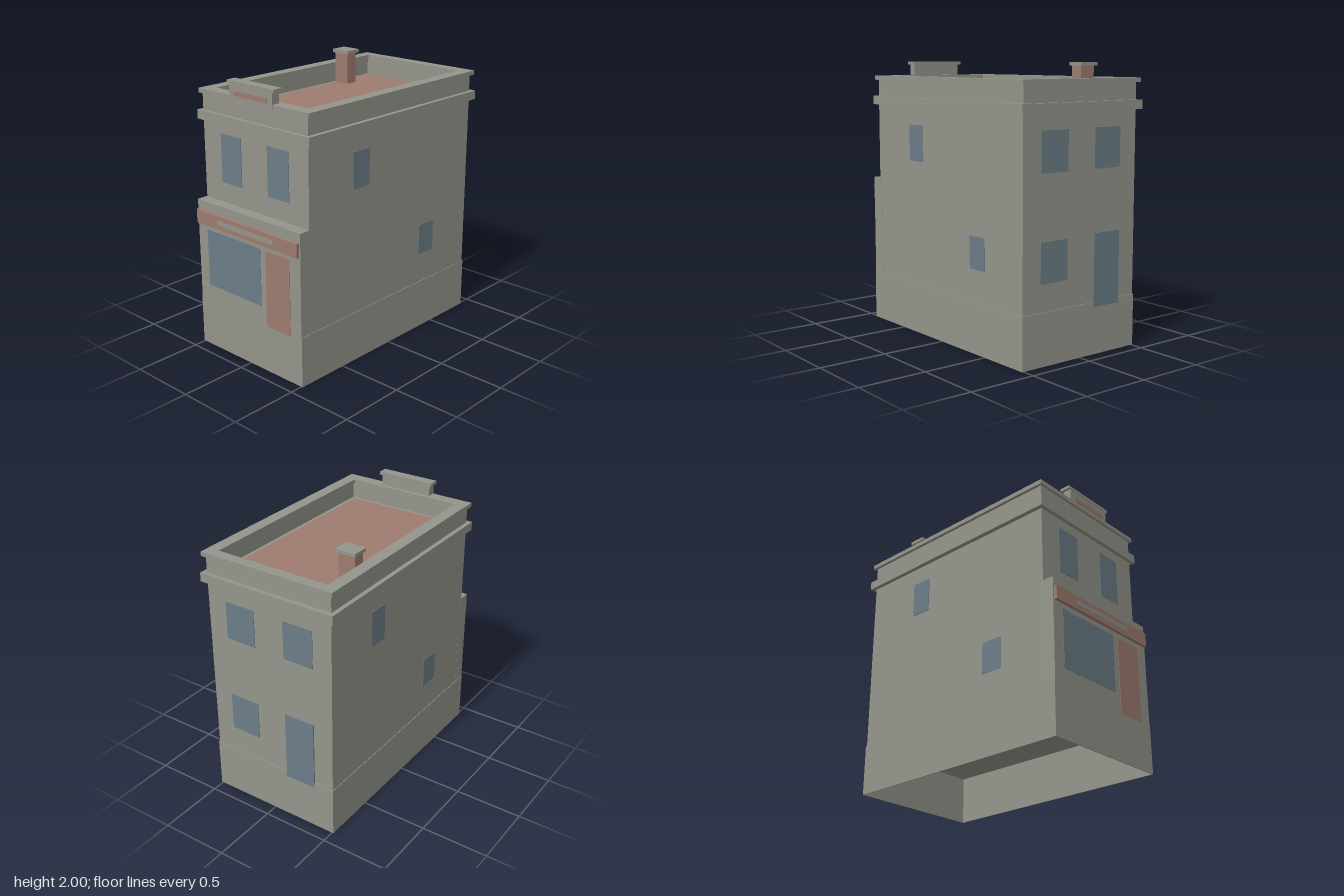
import * as THREE from 'three';

export function createModel() {
  const model = new THREE.Group();
  const mat = (name, color) => {
    const m = new THREE.MeshStandardMaterial({ color });
    m.name = name;
    return m;
  };
  const wall = mat('stone grey', 0x94958b);
  const red = mat('brick red', 0x9e7c6f);
  const glass = mat('window blue', 0x6b7d87);

  const add = (name, geometry, material) => {
    const mesh = new THREE.Mesh(geometry, material);
    mesh.name = name;
    model.add(mesh);
    return mesh;
  };

  // Box given by its minimum and maximum on each axis
  const box = (name, material, x0, x1, y0, y1, z0, z1) =>
    add(name, new THREE.BoxGeometry(x1 - x0, y1 - y0, z1 - z0), material)
      .position.set((x0 + x1) / 2, (y0 + y1) / 2, (z0 + z1) / 2);

  // Rectangular frame lying flat: outer half width and z range, inner the same
  const ring = (name, y0, y1, [ox, oz0, oz1], [ix, iz0, iz1]) => {
    const rect = (T, x, z0, z1) => new T([
      new THREE.Vector2(-x, -z1), new THREE.Vector2(x, -z1),
      new THREE.Vector2(x, -z0), new THREE.Vector2(-x, -z0)]);
    const shape = rect(THREE.Shape, ox, oz0, oz1);
    shape.holes.push(rect(THREE.Path, ix, iz0, iz1));
    const g = new THREE.ExtrudeGeometry(shape, { depth: y1 - y0, bevelEnabled: false });
    g.rotateX(-Math.PI / 2).translate(0, y0, 0);
    add(name, g, wall);
  };

  // Building masses, open underneath
  box('mainBody', wall, -0.506, 0.506, 0.355, 1.74, -0.897, 0.82);
  box('shopFront', wall, -0.507, 0.507, 0.345, 1.113, 0.8, 0.905);
  ring('plinth', 0, 0.37, [0.511, -0.903, 0.905], [0.505, -0.897, 0.899]);

  // Parapet, cornice and coping around the sunken roof
  ring('parapet', 1.735, 1.87, [0.506, -0.897, 0.82], [0.47, -0.866, 0.777]);
  ring('cornice', 1.68, 1.745, [0.538, -0.93, 0.848], [0.49, -0.88, 0.8]);
  ring('coping', 1.865, 1.897, [0.528, -0.92, 0.838], [0.44, -0.84, 0.747]);
  box('roofPanel', red, -0.44, 0.44, 1.738, 1.745, -0.84, 0.747);

  // Chimney
  box('chimney', red, -0.44, -0.315, 1.74, 1.977, -0.545, -0.452);
  box('chimneyCap', wall, -0.455, -0.3, 1.975, 2, -0.565, -0.44);

  // Raised panel over the front
  box('frontPanel', wall, -0.205, 0.205, 1.865, 1.98, 0.778, 0.84);
  box('frontPanelCap', wall, -0.225, 0.225, 1.977, 2, 0.767, 0.843);
  box('frontPanelStripe', red, -0.16, 0.16, 1.9, 1.932, 0.838, 0.844);

  // Shop sign and its stripe
  box('signBoard', red, -0.497, 0.497, 0.945, 1.045, 0.9, 0.928);
  box('signStripe', wall, -0.275, 0.275, 0.978, 1.013, 0.925, 0.931);

  // Front openings
  box('shopWindow', glass, -0.413, 0.127, 0.483, 0.907, 0.9, 0.908);
  box('frontDoor', red, 0.18, 0.407, 0.347, 0.907, 0.9, 0.908);

  for (const s of [-1, 1]) {
    // Upper front windows and upper back windows
    box('frontWindow', glass, s * 0.228 - 0.1, s * 0.228 + 0.1, 1.257, 1.607, 0.816, 0.824);
    box('backUpperWindow', glass, s * 0.238 - 0.118, s * 0.238 + 0.118, 1.29, 1.57, -0.901, -0.893);
  }

  // Lower back openings
  box('backLowerWindow', glass, 0.12, 0.356, 0.56, 0.84, -0.901, -0.893);
  box('backDoor', glass, -0.356, -0.12, 0.335, 0.852, -0.907, -0.899);

  // Side windows
  const sideWindow = (s, y0, y1, z) =>
    box('sideWindow', glass, s * 0.506 - 0.004, s * 0.506 + 0.004, y0, y1, z - 0.082, z + 0.082);
  sideWindow(1, 1.283, 1.547, 0.315);
  sideWindow(1, 0.597, 0.827, -0.416);
  sideWindow(-1, 1.283, 1.547, -0.365);
  sideWindow(-1, 0.597, 0.827, 0.356);

  return model;
}
